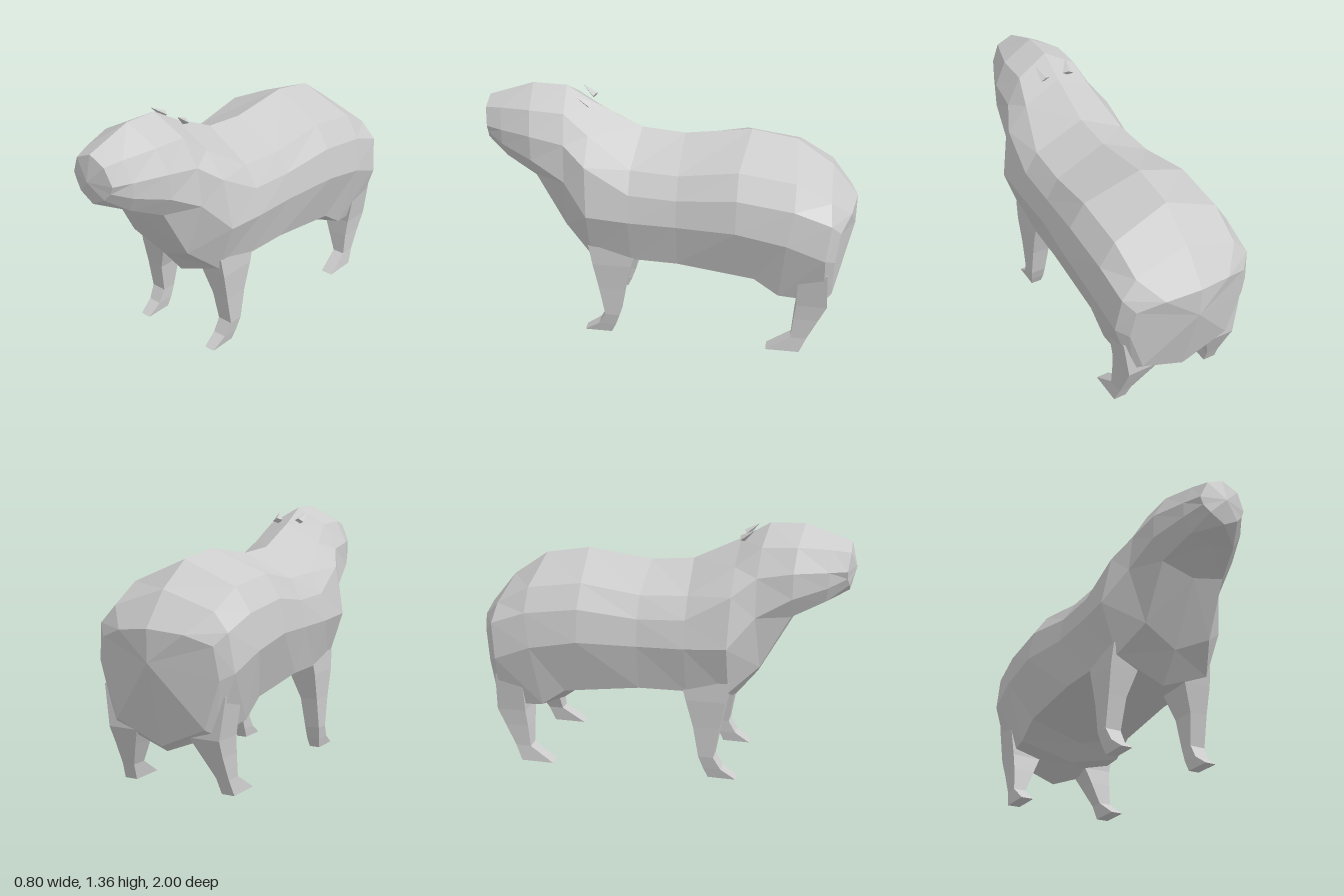
import * as THREE from 'three';

const material = new THREE.MeshStandardMaterial({ color: 0xcccccc, flatShading: true });

// Skins a list of closed rings and closes each end with a fan to a tip point.
function loft(name, rings, startTip, endTip) {
  const pos = [];
  const tri = (a, b, c) => pos.push(...a, ...b, ...c);
  const n = rings[0].length;
  const centre = (r) => [0, 1, 2].map((k) => r.reduce((s, p) => s + p[k], 0) / n);
  const first = rings[0], last = rings[rings.length - 1];
  const start = startTip || centre(first), end = endTip || centre(last);
  for (let j = 0; j < n; j++) {
    const k = (j + 1) % n;
    for (let i = 0; i + 1 < rings.length; i++) {
      const a = rings[i][j], b = rings[i][k], c = rings[i + 1][k], d = rings[i + 1][j];
      if (j < n / 2) { tri(a, b, d); tri(b, c, d); }
      else { tri(a, b, c); tri(a, c, d); }
    }
    tri(start, first[k], first[j]);
    tri(end, last[j], last[k]);
  }
  const geometry = new THREE.BufferGeometry();
  geometry.setAttribute('position', new THREE.Float32BufferAttribute(pos, 3));
  geometry.computeVertexNormals();
  const mesh = new THREE.Mesh(geometry, material);
  mesh.name = name;
  return mesh;
}

// Completes a half section (spine to belly along +x) with its mirror image.
const mirrorRing = (half) =>
  [...half, ...half.slice(1, -1).reverse().map(([x, y, z]) => [-x, y, z])];

// Half sections from the nose to the neck: spine, crown, cheek, side, jaw, underside.
const headSections = [
  [[0, 1.28, 0.97], [0.09, 1.24, 0.97], [0.13, 1.15, 0.96], [0.115, 1.11, 0.96], [0.08, 1.07, 0.97], [0, 1.025, 0.97]],
  [[0, 1.31, 0.88], [0.12, 1.255, 0.88], [0.17, 1.15, 0.87], [0.17, 1.07, 0.87], [0.13, 0.99, 0.86], [0, 0.97, 0.86]],
  [[0, 1.36, 0.73], [0.17, 1.27, 0.71], [0.235, 1.15, 0.7], [0.24, 1.02, 0.7], [0.18, 0.91, 0.69], [0, 0.865, 0.69]],
  [[0, 1.355, 0.55], [0.17, 1.26, 0.53], [0.25, 1.12, 0.52], [0.275, 0.92, 0.52], [0.19, 0.63, 0.54], [0, 0.54, 0.51]],
];

// Half sections of the trunk: spine, back, flank, side, belly edge, belly.
const trunkSections = [
  [[0, 1.265, 0.4], [0.2, 1.16, 0.4], [0.31, 1.03, 0.4], [0.36, 0.77, 0.39], [0.27, 0.5, 0.39], [0, 0.39, 0.39]],
  [[0, 1.145, 0.15], [0.26, 1.01, 0.17], [0.33, 0.9, 0.17], [0.36, 0.755, 0.17], [0.29, 0.5, 0.17], [0, 0.39, 0.17]],
  [[0, 1.125, -0.08], [0.27, 1.0, -0.08], [0.335, 0.89, -0.08], [0.36, 0.75, -0.08], [0.3, 0.5, -0.08], [0, 0.39, -0.2]],
  [[0, 1.17, -0.43], [0.29, 1.05, -0.39], [0.37, 0.93, -0.39], [0.4, 0.76, -0.39], [0.31, 0.45, -0.49], [0, 0.36, -0.49]],
  [[0, 1.13, -0.67], [0.29, 1.01, -0.68], [0.37, 0.89, -0.68], [0.4, 0.71, -0.65], [0.31, 0.36, -0.62], [0, 0.28, -0.6]],
];

// Half sections of the rump.
const rumpSections = [
  [[0, 1.0, -0.86], [0.28, 0.91, -0.86], [0.36, 0.82, -0.87], [0.385, 0.63, -0.85], [0.29, 0.33, -0.86], [0, 0.215, -0.84]],
  [[0, 0.83, -1.0], [0.18, 0.81, -0.97], [0.31, 0.76, -0.92], [0.33, 0.6, -0.9], [0.25, 0.36, -0.9], [0, 0.25, -0.89]],
];

// Leg levels: [y, inner x, outer x, back z, front z].
const frontLegLevels = [
  [0.56, 0.15, 0.29, 0.14, 0.4],
  [0.45, 0.14, 0.295, 0.17, 0.38],
  [0.3, 0.19, 0.29, 0.21, 0.35],
  [0.13, 0.205, 0.29, 0.24, 0.32],
  [0.06, 0.205, 0.28, 0.265, 0.36],
  [0.005, 0.21, 0.27, 0.29, 0.44],
];
const hindLegLevels = [
  [0.52, 0.18, 0.345, -0.87, -0.72],
  [0.31, 0.15, 0.315, -0.88, -0.72],
  [0.22, 0.19, 0.31, -0.84, -0.71],
  [0.1, 0.24, 0.31, -0.785, -0.7],
  [0.015, 0.25, 0.32, -0.75, -0.57],
];

function leg(name, levels, side) {
  return loft(name, levels.map(([y, inner, outer, zb, zf]) => {
    const lo = Math.min(side * inner, side * outer), hi = Math.max(side * inner, side * outer);
    return [[lo, y, zb], [hi, y, zb], [hi, y, zf], [lo, y, zf]];
  }));
}

// Small folded ear leaning back and outwards.
function ear(name, side) {
  const mesh = new THREE.Mesh(new THREE.ConeGeometry(0.03, 0.09, 4), material);
  mesh.name = name;
  mesh.scale.set(1, 1, 0.6);
  mesh.position.set(side * 0.08, 1.305, 0.45);
  mesh.rotation.set(0.95, 0, -side * 0.25);
  return mesh;
}

export function createModel() {
  const group = new THREE.Group();
  group.name = 'rodent';
  const sections = [...headSections, ...trunkSections, ...rumpSections];
  group.add(loft('body', sections.map(mirrorRing), [0, 1.15, 1.0], [0, 0.67, -1.0]));
  for (const [label, side] of [['left', 1], ['right', -1]]) {
    group.add(leg(`${label}FrontLeg`, frontLegLevels, side));
    group.add(leg(`${label}HindLeg`, hindLegLevels, side));
    group.add(ear(`${label}Ear`, side));
  }
  return group;
}
